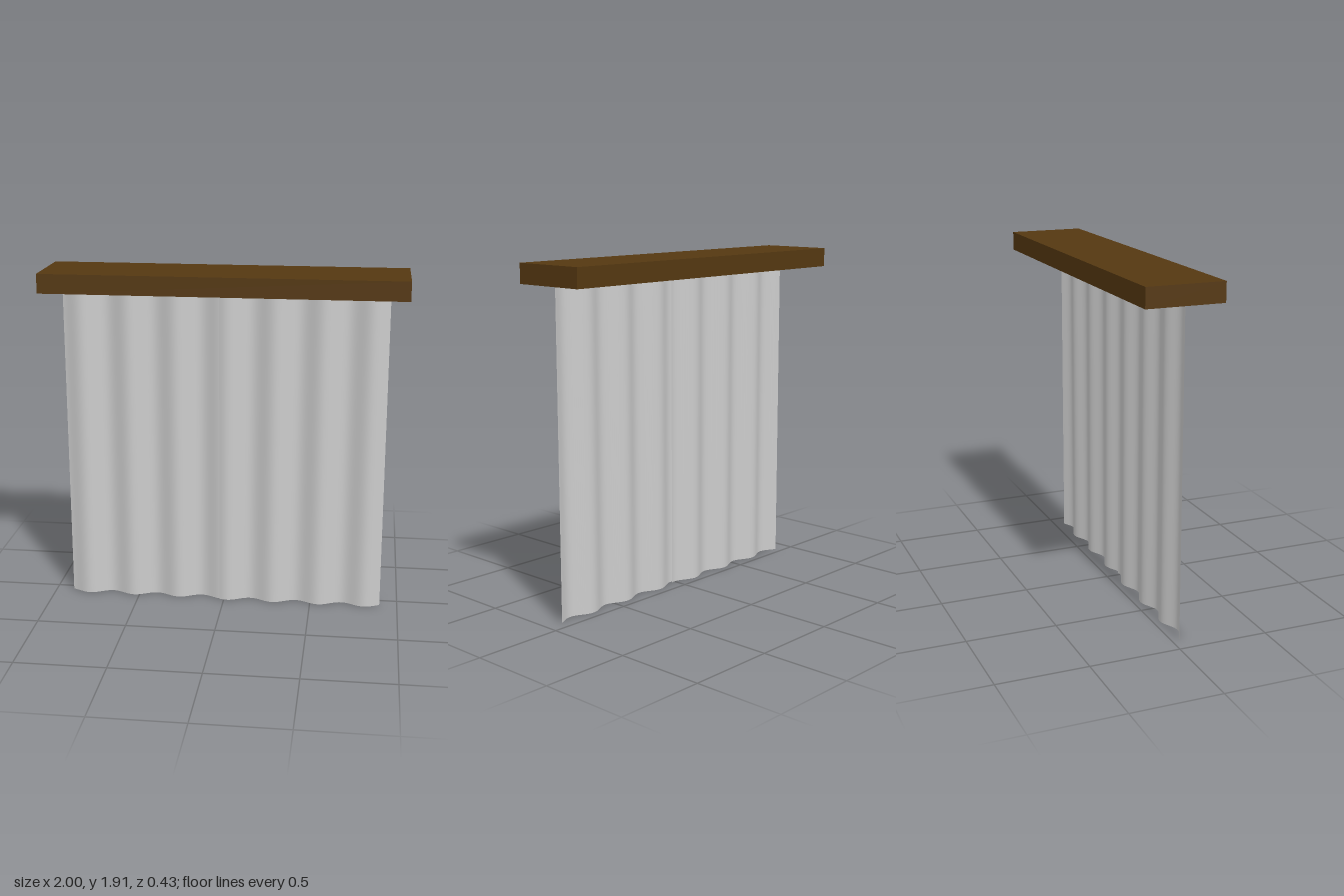
import * as THREE from 'three';

const HEIGHT = 1.8;
const PERIOD = 0.264;
const DEPTH = 0.022;

// Thin pleated sheet running from x0 to x1, with a fold crest at x = crest
function curtainPanel(name, x0, x1, crest, z0, material) {
  const geometry = new THREE.PlaneGeometry(x1 - x0, HEIGHT, 96, 1);
  geometry.translate((x0 + x1) / 2, HEIGHT / 2, 0);
  const pos = geometry.attributes.position;
  for (let i = 0; i < pos.count; i++) {
    const phase = (2 * Math.PI * (pos.getX(i) - crest)) / PERIOD;
    pos.setZ(i, z0 + DEPTH * Math.cos(phase));
  }
  geometry.computeVertexNormals();
  const mesh = new THREE.Mesh(geometry, material);
  mesh.name = name;
  return mesh;
}

export function createModel() {
  const model = new THREE.Group();
  model.name = 'curtains';
  const wood = new THREE.MeshStandardMaterial({ color: 0x553811 });
  const cloth = new THREE.MeshStandardMaterial({ color: 0xcccccc, side: THREE.DoubleSide });

  // Wooden pelmet board
  const pelmet = new THREE.Mesh(new THREE.BoxGeometry(2, 0.107, 0.426), wood);
  pelmet.name = 'pelmet';
  pelmet.position.y = HEIGHT + 0.0535;
  model.add(pelmet);

  // Two panels, overlapping slightly in the middle
  model.add(curtainPanel('rightCurtain', -0.9, 0.025, -0.002, 0.062, cloth));
  model.add(curtainPanel('leftCurtain', -0.025, 0.9, 0.019, 0.073, cloth));
  return model;
}
